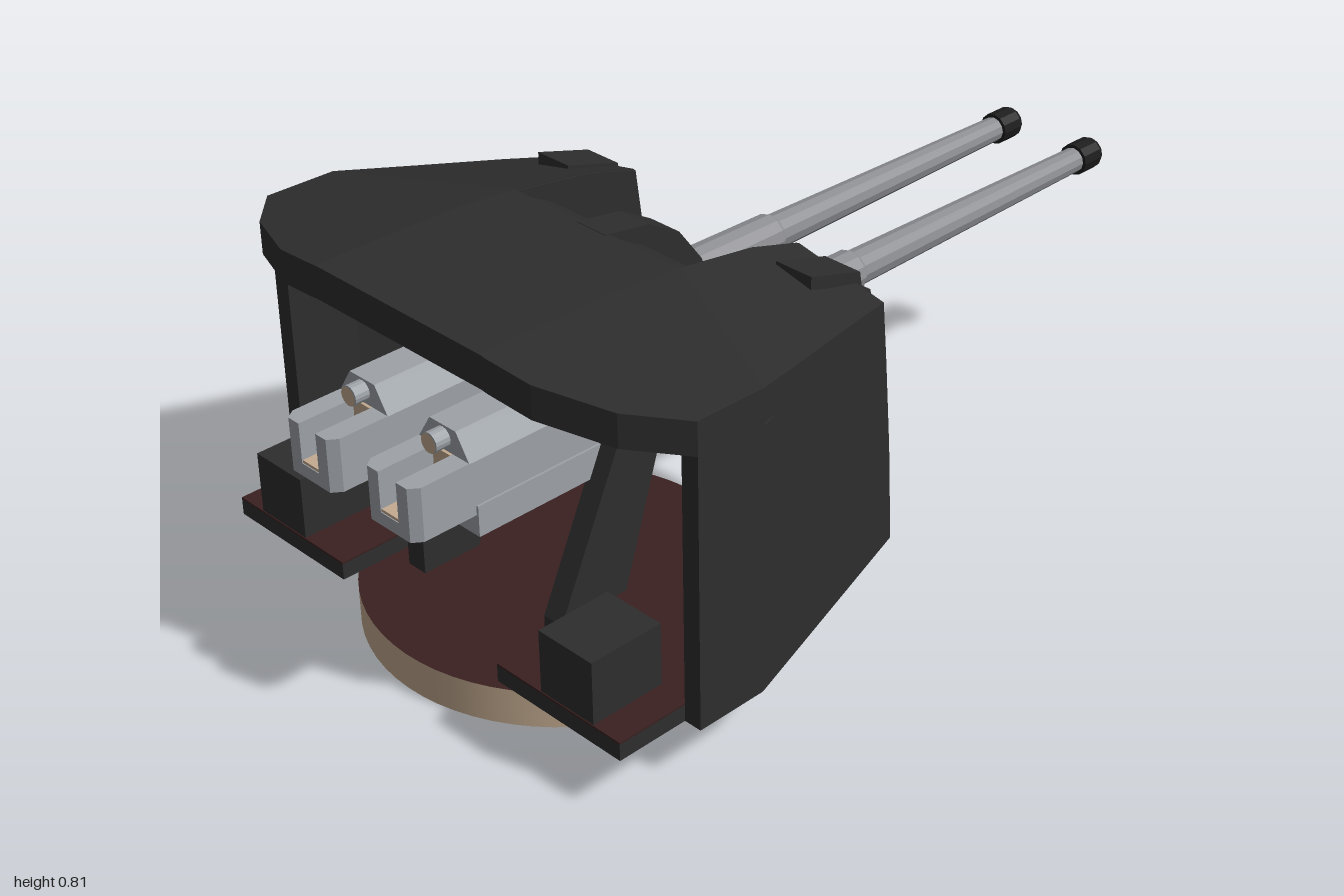
import * as THREE from 'three';

const mat = (name, color, side = THREE.FrontSide) =>
  Object.assign(new THREE.MeshStandardMaterial({ color, flatShading: true, side }), { name });

// Joins equal-sized rings of [x, y, z] corners into a capped solid.
function loft(rings) {
  const pos = [];
  const tri = (a, b, c) => pos.push(...a, ...b, ...c);
  const n = rings[0].length;
  for (let i = 0; i + 1 < rings.length; i++) {
    for (let j = 0; j < n; j++) {
      const k = (j + 1) % n;
      const [a, b, c, d] = [rings[i][j], rings[i][k], rings[i + 1][k], rings[i + 1][j]];
      tri(a, b, c);
      tri(a, c, d);
    }
  }
  const last = rings[rings.length - 1];
  for (let j = 1; j + 1 < n; j++) {
    tri(rings[0][0], rings[0][j + 1], rings[0][j]);
    tri(last[0], last[j], last[j + 1]);
  }
  const g = new THREE.BufferGeometry();
  g.setAttribute('position', new THREE.Float32BufferAttribute(pos, 3));
  g.computeVertexNormals();
  return g;
}

// Plate cut from a (z, y) outline, running from x0 to x1.
const sidePlate = (outline, x0, x1) =>
  loft([x0, x1].map((x) => outline.map(([z, y]) => [x, y, z])));

const box = (x0, x1, y0, y1, z0, z1) =>
  new THREE.BoxGeometry(Math.abs(x1 - x0), y1 - y0, z1 - z0).translate((x0 + x1) / 2, (y0 + y1) / 2, (z0 + z1) / 2);

export function createModel() {
  const root = new THREE.Group();
  root.name = 'gunTurret';
  const steel = mat('dark steel', 0x2d2d2d, THREE.DoubleSide);
  const red = mat('deck red', 0x3a2020, THREE.DoubleSide);
  const tan = mat('tan', 0xc4ab90, THREE.DoubleSide);
  const grey = mat('breech grey', 0x9ea3a8, THREE.DoubleSide);
  const barrelGrey = mat('barrel grey', 0x8e8f93);
  const black = mat('muzzle black', 0x1c1c1c);
  const add = (name, geometry, material, parent = root) => {
    const m = new THREE.Mesh(geometry, material);
    m.name = name;
    parent.add(m);
    return m;
  };

  // Turntable: tan rim, red deck, dark underside
  const ring = new THREE.CylinderGeometry(0.408, 0.408, 0.08, 64).scale(1, 1, 0.956).translate(0, 0.04, 0.515);
  const tanRim = mat('rim tan', 0xc4ab90);
  tanRim.flatShading = false;
  add('turntable', ring, [tanRim, red, steel]);

  // Shield plan and face slope
  const faceZ = (y) => 0.01 + 0.07 * Math.pow((y - 0.12) / 0.6, 1.3);
  const cornerX = (z) => 0.43 + (z - 0.01) * 0.315;
  const levels = [0.12, 0.345, 0.55, 0.69];

  add('lowerFacePlate', loft([0.12, 0.345].map((y) => {
    const z = faceZ(y);
    return [[-0.23, y, z], [0.23, y, z], [0.23, y, z + 0.03], [-0.23, y, z + 0.03]];
  })), steel);
  add('embrasureSill', sidePlate([[0.04, 0.28], [0.27, 0.345], [0.27, 0.36], [0.04, 0.3]], -0.23, 0.23), steel);

  // Roof stations: z, half width, ridge height, edge height
  const roof = [
    [0.075, 0.45, 0.735, 0.69], [0.2, 0.49, 0.772, 0.712], [0.39, 0.55, 0.8, 0.742],
    [0.55, 0.6, 0.813, 0.768], [0.71, 0.6, 0.815, 0.77], [0.8, 0.5, 0.815, 0.782],
    [0.86, 0.35, 0.815, 0.8], [0.87, 0.25, 0.815, 0.813],
  ];
  add('roofCentre', loft(roof.slice(2).map(([z, , h]) =>
    [[-0.23, h, z], [0.23, h, z], [0.23, h - 0.07, z], [-0.23, h - 0.07, z]])), steel);

  for (const s of [1, -1]) {
    const side = s > 0 ? 'left' : 'right';
    add(side + 'RoofWing', loft(roof.map(([z, w, h, e]) =>
      [[s * 0.23, h, z], [s * w, e, z], [s * w, e - 0.07, z], [s * 0.23, h - 0.07, z]])), steel);

    add(side + 'FacePlate', loft(levels.map((y) => {
      const z = faceZ(y);
      return [[s * 0.23, y, z], [s * cornerX(z), y, z], [s * (cornerX(z) - 0.02), y, z + 0.03], [s * 0.23, y, z + 0.03]];
    })), steel);
    add(side + 'SideWall', loft(levels.map((y) => {
      const z = faceZ(y);
      return [[s * cornerX(z), y, z], [s * 0.6, y, 0.55], [s * 0.56, y, 0.55], [s * (cornerX(z) - 0.03), y, z + 0.03]];
    })), steel);
    add(side + 'RearWall', box(s * 0.56, s * 0.6, 0.12, 0.72, 0.55, 0.71), steel);

    // Embrasure cheek from face to mantlet
    add(side + 'EmbrasureCheek', sidePlate(
      [[0.04, 0.29], [0.045, 0.5], [0.076, 0.734], [0.2, 0.77], [0.39, 0.798], [0.45, 0.78], [0.27, 0.33]],
      s * 0.225, s * 0.235), steel);

    // Raised sight hatch folding from the face over the roof
    add(side + 'HatchFrame', loft([0.38, 0.55, 0.7].map((y) => {
      const z = faceZ(y);
      return [[s * 0.25, y, z - 0.009], [s * 0.41, y, z - 0.009], [s * 0.41, y, z + 0.01], [s * 0.25, y, z + 0.01]];
    })), steel);
    const hatch = [[0.4, faceZ(0.4) - 0.02, 0.4, 0.06], [0.55, faceZ(0.55) - 0.02, 0.55, 0.07],
      [0.725, 0.065, 0.69, 0.09], [0.765, 0.2, 0.73, 0.2]];
    add(side + 'SightHatch', loft(hatch.map(([y, z, yi, zi]) =>
      [[s * 0.29, y, z], [s * 0.38, y, z], [s * 0.38, yi, zi], [s * 0.29, yi, zi]])), steel);

    // Crew platform with red top and an ammunition locker
    const plan = [[0.23, 0.15], [0.45, 0.15], [0.56, 0.5], [0.56, 0.87], [0.23, 0.87]];
    const slab = (y0, y1) => loft([y0, y1].map((y) => plan.map(([x, z]) => [s * x, y, z])));
    add(side + 'Platform', slab(0.12, 0.156), steel);
    add(side + 'PlatformDeck', slab(0.156, 0.16), red);
    add(side + 'Locker', box(s * 0.35, s * 0.49, 0.16, 0.295, 0.7, 0.868), steel);

    // Leaning trunnion bracket
    add(side + 'TrunnionBracket', sidePlate(
      [[0.57, 0.08], [0.71, 0.08], [0.71, 0.16], [0.53, 0.55], [0.42, 0.55]], s * 0.18, s * 0.23), steel);
    add(side + 'TrunnionCap', new THREE.CylinderGeometry(0.015, 0.015, 0.015, 12)
      .rotateZ(Math.PI / 2).translate(s * 0.234, 0.53, 0.48), grey);
  }

  // Curved mantlet behind the embrasure, with a divider bar between the guns
  const arcRings = [];
  for (let i = 0; i <= 12; i++) {
    const a = -Math.PI / 4 + (i / 12) * Math.PI * 0.75;
    const at = (x, r) => [x, 0.53 + r * Math.sin(a), 0.45 - r * Math.cos(a)];
    arcRings.push([at(-0.23, 0.26), at(0.23, 0.26), at(0.23, 0.245), at(-0.23, 0.245)]);
  }
  add('mantlet', loft(arcRings), steel);
  add('dividerBar', sidePlate([[0.27, 0.33], [0.14, 0.34], [0.11, 0.46], [0.115, 0.56], [0.15, 0.66],
    [0.21, 0.74], [0.29, 0.785], [0.4, 0.802], [0.42, 0.76], [0.27, 0.62]], -0.04, 0.04), steel);

  // Cradle and trunnion shaft shared by both guns
  add('cradle', box(-0.19, 0.19, 0.415, 0.48, 0.35, 0.86), grey);
  add('trunnionShaft', new THREE.CylinderGeometry(0.017, 0.017, 0.45, 12)
    .rotateZ(Math.PI / 2).translate(0, 0.53, 0.48), barrelGrey);

  // Twin guns
  for (const s of [1, -1]) {
    const gun = new THREE.Group();
    gun.name = s > 0 ? 'leftGun' : 'rightGun';
    gun.position.x = s * 0.115;
    root.add(gun);

    const section = [[-0.07, 0.46], [0.07, 0.46], [0.07, 0.572], [0.036, 0.625], [-0.036, 0.625], [-0.07, 0.572]];
    add('gunHousing', loft([0.3, 0.87].map((z) => section.map(([x, y]) => [x, y, z]))), grey);
    for (const t of [1, -1]) {
      const jaw = [[0.025, 0.87], [0.07, 0.87], [0.07, 0.98], [0.055, 1], [0.025, 1]];
      add('breechJaw', loft([0.46, 0.573].map((y) => jaw.map(([x, z]) => [t * x, y, z]))), grey);
    }
    add('breechFloor', box(-0.025, 0.025, 0.46, 0.488, 0.87, 1), grey);
    add('loadingTray', box(-0.025, 0.025, 0.488, 0.494, 0.87, 0.998), tan);
    add('breechFace', box(-0.025, 0.025, 0.494, 0.573, 0.87, 0.876), tan);
    add('recoilCylinder', new THREE.CylinderGeometry(0.021, 0.021, 0.04, 16)
      .rotateX(Math.PI / 2).translate(0, 0.6, 0.882), grey);
    add('recoilCap', new THREE.CircleGeometry(0.02, 16).translate(0, 0.6, 0.904), tan);

    // Barrel pieces: rear z, front z, rear radius, front radius
    const tube = (name, z0, z1, r0, r1, m) => add(name,
      new THREE.CylinderGeometry(r1, r0, z0 - z1, 12).rotateX(-Math.PI / 2).translate(0, 0.527, (z0 + z1) / 2), m, gun);
    tube('barrelSleeve', 0.32, -0.2, 0.052, 0.046, barrelGrey);
    tube('sleeveCollar', -0.2, -0.21, 0.046, 0.04, barrelGrey);
    tube('barrel', -0.2, -0.95, 0.039, 0.028, barrelGrey);
    tube('muzzle', -0.935, -0.99, 0.036, 0.036, black);
    tube('muzzleLip', -0.99, -1, 0.036, 0.031, black);

    // Breech parts belong to the gun group
    for (const m of root.children.filter((c) => /^(gunHousing|breech|loadingTray|recoil)/.test(c.name))) gun.add(m);
  }
  return root;
}
